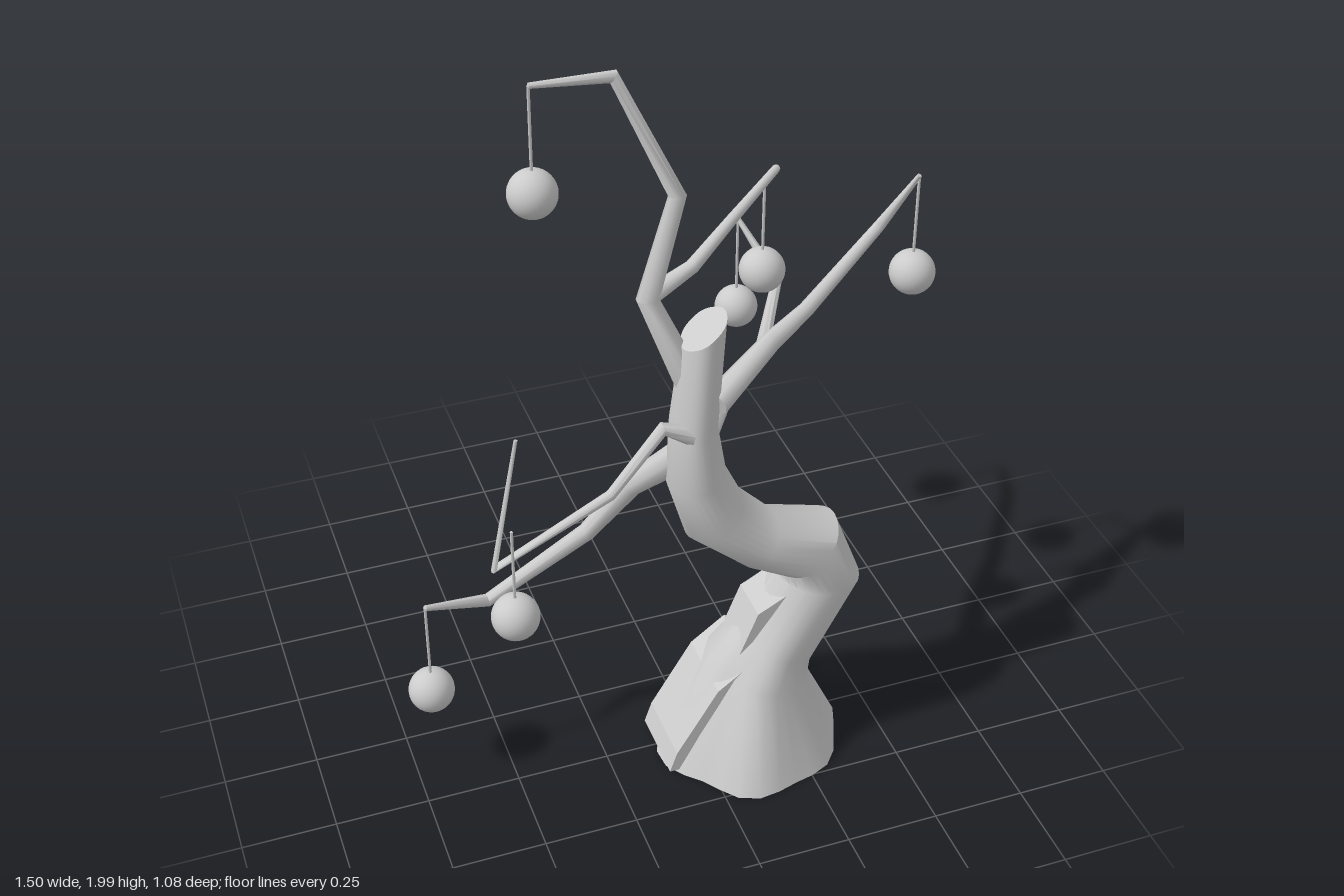
import * as THREE from 'three';
import { toCreasedNormals } from 'three/addons/utils/BufferGeometryUtils.js';

const bark = new THREE.MeshStandardMaterial({ color: 0xcccccc });
const trunkZ = 0.28;

// Capped tube through points, with radius(i) = [ru, rv]; the section is carried along the path.
function loft(pts, sides, radius, { startDir, endDir, flute = () => 1, across, crease }) {
  const last = pts.length - 1, pos = [], idx = [];
  const u = across.clone();
  pts.forEach((p, i) => {
    const t = new THREE.Vector3();
    if (i > 0) t.add(p.clone().sub(pts[i - 1]).normalize());
    if (i < last) t.add(pts[i + 1].clone().sub(p).normalize());
    if (i === 0 && startDir) t.copy(startDir);
    if (i === last && endDir) t.copy(endDir);
    t.normalize();
    u.addScaledVector(t, -u.dot(t)).normalize();
    const v = t.clone().cross(u);
    const [ru, rv] = radius(i);
    for (let j = 0; j < sides; j++) {
      const a = j / sides * Math.PI * 2, k = flute(a, i);
      const q = p.clone().addScaledVector(u, Math.cos(a) * ru * k).addScaledVector(v, Math.sin(a) * rv * k);
      pos.push(q.x, q.y, q.z);
    }
  });
  for (let i = 0; i < last; i++) {
    for (let j = 0; j < sides; j++) {
      const a = i * sides + j, b = i * sides + (j + 1) % sides;
      idx.push(a, b, a + sides, b, b + sides, a + sides);
    }
  }
  // End caps
  const c0 = pos.length / 3;
  pos.push(...pts[0].toArray(), ...pts[last].toArray());
  for (let j = 0; j < sides; j++) {
    const k = (j + 1) % sides;
    idx.push(c0, k, j, c0 + 1, last * sides + j, last * sides + k);
  }
  const g = new THREE.BufferGeometry();
  g.setAttribute('position', new THREE.Float32BufferAttribute(pos, 3));
  g.setIndex(idx);
  return toCreasedNormals(g, crease);
}

function add(parent, name, geometry) {
  const mesh = new THREE.Mesh(geometry, bark);
  mesh.name = name;
  parent.add(mesh);
  return mesh;
}

// Crooked trunk flaring into a fluted stump, with a slanted cut at the top
function addTrunk(tree) {
  // x, y, half-width across the bend, half-width in z
  const rings = [
    [0.145, 0.012, 0.25, 0.25], [0.17, 0.265, 0.14, 0.152], [0.215, 0.34, 0.115, 0.12],
    [0.335, 0.54, 0.112, 0.115], [0.3, 0.64, 0.105, 0.108], [0.16, 0.695, 0.08, 0.1],
    [0.035, 0.81, 0.088, 0.095], [-0.012, 0.94, 0.076, 0.088],
    [-0.02, 1.1, 0.058, 0.08], [0.004, 1.37, 0.068, 0.063],
  ];
  add(tree, 'trunk', loft(rings.map(([x, y]) => new THREE.Vector3(x, y, trunkZ)), 28, i => rings[i].slice(2), {
    startDir: new THREE.Vector3(0, 1, 0),
    endDir: new THREE.Vector3(-0.08, 0.11, 0),
    across: new THREE.Vector3(1, 0, 0),
    flute: (a, i) => 1 + Math.max(0.045 - 0.012 * i, 0.01) * (Math.sin(6 * a + 0.5) + 0.5 * Math.sin(4 * a + 2)),
    crease: 0.6,
  }));
}

// Broken slab of bark: an x-y outline given depth along z
function addSlab(tree, name, outline, z, depth) {
  const shape = new THREE.Shape(outline.map(p => new THREE.Vector2(...p)));
  add(tree, name, new THREE.ExtrudeGeometry(shape, { depth, bevelEnabled: false })).position.z = z;
}

// Tapering branch with a ball hanging on a string from its tip, or from another hook
function addBranch(tree, name, root, drop, path, hook) {
  const group = new THREE.Group();
  group.name = name;
  const pts = path.map(p => new THREE.Vector3(...p));
  const taper = i => {
    const t = i / (pts.length - 1);
    const r = root * (0.18 + 0.35 * (1 - t ** 4) + 0.47 * (1 - t) ** 3);
    return [r, r];
  };
  add(group, 'limb', loft(pts, 8, taper, { across: new THREE.Vector3(0.3, 0.2, 0.9), crease: 0.9 }));
  const top = hook ?? pts.at(-1);
  const string = add(group, 'string', new THREE.CylinderGeometry(0.004, 0.004, drop, 6));
  string.position.copy(top).y -= drop / 2;
  const ball = add(group, 'ball', new THREE.SphereGeometry(0.061, 32, 20));
  ball.position.copy(top).y -= drop;
  tree.add(group);
}

export function createModel() {
  const tree = new THREE.Group();
  tree.name = 'bareTree';
  addTrunk(tree);
  addSlab(tree, 'lowerBarkSlab',
    [[0.1, 0.02], [0.2, 0.3], [0.12, 0.34], [0.025, 0.27], [-0.09, 0.08], [-0.11, 0.02]], 0.16, 0.21);
  addSlab(tree, 'upperBarkSlab',
    [[0.25, 0.32], [0.3, 0.5], [0.23, 0.525], [0.145, 0.48], [0.09, 0.34]], 0.21, 0.13);

  addBranch(tree, 'topBranch', 0.04, 0.275,
    [[-0.02, 1.2, 0.27], [-0.12, 1.45, 0.23], [-0.03, 1.69, 0.185], [-0.16, 1.985, 0.115], [-0.36, 1.995, 0.115]]);
  addBranch(tree, 'upperBranch', 0.025, 0.265,
    [[-0.12, 1.455, 0.23], [0.01, 1.485, 0.18], [0.13, 1.565, 0.13], [0.295, 1.605, 0], [0.31, 1.515, -0.105]]);
  addBranch(tree, 'leftBranch', 0.036, 0.285,
    [[0.02, 1.175, 0.32], [0.21, 1.235, 0.2], [0.36, 1.225, 0.075], [0.62, 1.34, -0.068], [0.688, 1.515, 0.005]]);
  addBranch(tree, 'backBranch', 0.038, 0.285,
    [[0.02, 1.04, 0.25], [0.155, 1.03, 0.06], [0.3, 0.995, -0.075], [0.46, 1.04, -0.355], [0.39, 1.18, -0.48]]);
  addBranch(tree, 'lowBranch', 0.042, 0.28,
    [[-0.03, 1, 0.26], [-0.15, 0.87, 0.18], [-0.25, 0.69, 0.11], [-0.515, 0.505, 0.075], [-0.695, 0.58, 0.138]]);
  addBranch(tree, 'rightBranch', 0.026, 0.265,
    [[-0.04, 1.1, 0.33], [-0.115, 1.135, 0.325], [-0.255, 0.98, 0.34], [-0.565, 0.86, 0.375], [-0.5, 1.24, 0.39]],
    new THREE.Vector3(-0.52, 0.97, 0.385));
  return tree;
}
